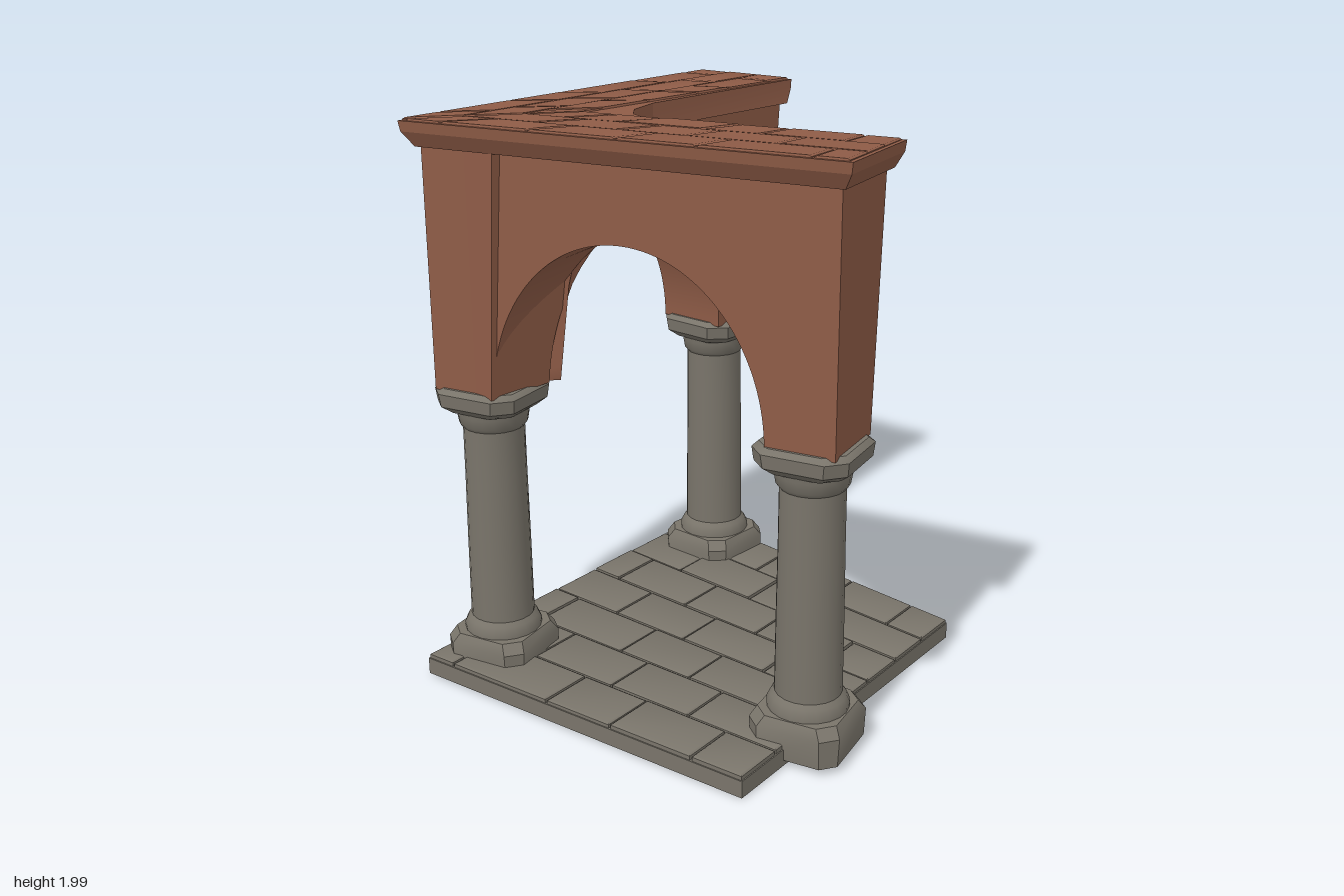
import * as THREE from 'three';
import { toCreasedNormals } from 'three/addons/utils/BufferGeometryUtils.js';

const brick = new THREE.MeshStandardMaterial({ color: 0x8f5c47 });
brick.name = 'terracotta';
const stone = new THREE.MeshStandardMaterial({ color: 0x79746a });
stone.name = 'grey stone';

let seed = 7;
const rand = () => (seed = (seed * 16807) % 2147483647) / 2147483647;
const lerp = THREE.MathUtils.lerp;

function mesh(name, geo, mat, crease = 0.6) {
  const m = new THREE.Mesh(toCreasedNormals(geo, crease), mat);
  m.name = name;
  return m;
}

// Closed solid from stacked horizontal outlines: levels = [y, [[x, z], ...]], bottom to top
function loft(levels) {
  const first = levels[levels.length - 1][1].map(p => new THREE.Vector2(p[0], -p[1]));
  const flip = THREE.ShapeUtils.area(first) < 0;
  const rings = levels.map(([y, pts]) => {
    const r = pts.map(([x, z]) => [x, y, z]);
    return flip ? r.reverse() : r;
  });
  const n = rings[0].length, top = rings.length - 1, pos = [];
  const tri = (...p) => p.forEach(v => pos.push(...v));
  for (let k = 0; k < top; k++) for (let i = 0; i < n; i++) {
    const j = (i + 1) % n;
    tri(rings[k][i], rings[k][j], rings[k + 1][j]);
    tri(rings[k][i], rings[k + 1][j], rings[k + 1][i]);
  }
  const cap = r => THREE.ShapeUtils.triangulateShape(r.map(p => new THREE.Vector2(p[0], -p[2])), []);
  cap(rings[top]).forEach(([a, b, c]) => tri(rings[top][a], rings[top][b], rings[top][c]));
  cap(rings[0]).forEach(([a, b, c]) => tri(rings[0][a], rings[0][c], rings[0][b]));
  const g = new THREE.BufferGeometry();
  g.setAttribute('position', new THREE.Float32BufferAttribute(pos, 3));
  return g;
}

// Uneven running-bond stones filling a four-cornered area
function paving(name, [a, b, c, d], rows, cols, y, h, gap, mat) {
  const group = new THREE.Group();
  group.name = name;
  const at = (u, v) => [0, 1].map(i => lerp(lerp(a[i], b[i], u), lerp(d[i], c[i], u), v));
  for (let r = 0; r < rows; r++) {
    const cuts = [0];
    for (let i = 0; i < cols; i++) {
      const u = (i + (r % 2 ? 0.9 : 0.5) + (rand() - 0.5) * 0.3) / cols;
      if (u < 0.93) cuts.push(u);
    }
    cuts.push(1);
    for (let i = 0; i + 1 < cuts.length; i++) {
      const quad = o => [
        at(cuts[i] + o, r / rows + o), at(cuts[i + 1] - o, r / rows + o),
        at(cuts[i + 1] - o, (r + 1) / rows - o), at(cuts[i] + o, (r + 1) / rows - o)];
      const top = y + h * (0.7 + 0.3 * rand());
      group.add(mesh('pavingStone', loft([[y - 0.01, quad(gap * 0.5)], [top - 0.004, quad(gap * 0.5)], [top, quad(gap * 1.3)]]), mat));
    }
  }
  return group;
}

// Square outline with cut corners
const cutSquare = (s, c) => [[s, c], [c, s], [-c, s], [-s, c], [-s, -c], [-c, -s], [c, -s], [s, -c]];

function column(x, z, turn, foot) {
  const g = new THREE.Group();
  g.name = 'column';
  g.add(mesh('plinth', loft([[foot, cutSquare(0.155, 0.11)], [0.13, cutSquare(0.16, 0.11)], [0.165, cutSquare(0.14, 0.09)]]), stone));
  const profile = [[0.001, 0.15], [0.135, 0.15], [0.137, 0.18], [0.125, 0.205], [0.112, 0.22], [0.11, 0.5],
    [0.107, 0.75], [0.106, 0.93], [0.118, 0.945], [0.124, 0.98], [0.132, 1.03], [0.001, 1.03]];
  g.add(mesh('shaft', new THREE.LatheGeometry(profile.map(p => new THREE.Vector2(...p)), 20), stone));
  g.add(mesh('capital', loft([[0.995, cutSquare(0.125, 0.075)], [1.022, cutSquare(0.157, 0.10)],
    [1.068, cutSquare(0.162, 0.105)], [1.085, cutSquare(0.145, 0.09)]]), stone));
  g.position.set(x, 0, z);
  g.rotation.y = turn;
  return g;
}

const SPRING = 1.075, TOP = 1.93;
// Inner wall face leans outward toward the top
const innerOffset = y => lerp(0.14, 0.2, (y - SPRING) / (TOP - SPRING));

// Arched wall along local x, outer face toward local +z
function archWall(name, x0, x1, half, crown) {
  const s = new THREE.Shape();
  s.moveTo(x0, SPRING);
  s.lineTo(-half, SPRING);
  s.absellipse(0, SPRING, half, crown - SPRING, Math.PI, 0, true);
  s.lineTo(x1, SPRING);
  s.lineTo(x1, TOP);
  s.lineTo(x0, TOP);
  const geo = new THREE.ExtrudeGeometry(s, { depth: 1, bevelEnabled: false, curveSegments: 28 });
  const p = geo.attributes.position;
  for (let i = 0; i < p.count; i++) p.setZ(i, p.getZ(i) > 0.5 ? 0.135 : -innerOffset(p.getY(i)));
  return mesh(name, geo, brick);
}

export function createModel() {
  const model = new THREE.Group();
  model.name = 'archwayCorner';

  // Paved floor
  const floor = [[-0.79, 0.69], [0.55, 0.87], [0.76, -0.42], [-0.52, -0.84]];
  model.add(mesh('floorSlab', loft([[0.01, floor], [0.07, floor]]), stone));
  model.add(paving('floorPaving', floor, 7, 4, 0.07, 0.02, 0.006, stone));

  // Stain on the underside
  const stain = [[0.37, 0.005], [0.35, 0.06], [0.4, 0.19], [0.47, 0.14], [0.6, 0.18], [0.68, 0.16], [0.72, 0.08], [0.73, 0.005]]
    .map(([a, b]) => [-0.79 + 0.27 * a + 1.34 * b, 0.69 - 1.52 * a + 0.18 * b]);
  model.add(mesh('undersideStain', loft([[0.006, stain], [0.012, stain]]), brick));

  // Columns
  const dir = [-0.234, 0.972], inward = [0.972, 0.234], mid = [-0.465, -0.07];
  const turn = Math.atan2(-0.972, -0.234);
  model.add(column(-0.6, 0.49, 0, 0.03), column(0.6, 0.49, 0, 0.03), column(-0.33, -0.63, turn, 0.03));

  // Two arched walls
  model.add(archWall('frontWall', -0.735, 0.73, 0.495, 1.65));
  model.children.at(-1).position.z = 0.49;
  const side = archWall('sideWall', -0.725, 0.7, 0.44, 1.6);
  side.position.set(mid[0], 0, mid[1]);
  side.rotation.y = turn;
  model.add(side);

  // Concave web joining the walls at the inner corner, following both arches
  const span = (y, half, crown) => half * Math.sqrt(Math.max(0, 1 - ((y - SPRING) / (crown - SPRING)) ** 2));
  const levels = [];
  for (let k = 0; k <= 18; k++) {
    const y = lerp(SPRING, TOP, k / 18), d = innerOffset(y), z = 0.49 - d;
    const t = (z - mid[1] - inward[1] * d) / dir[1];
    const sidePoint = u => [mid[0] + dir[0] * u + inward[0] * d, mid[1] + dir[1] * u + inward[1] * d];
    const corner = sidePoint(t);
    const p1 = [Math.max(Math.min(-0.1, -span(y, 0.495, 1.65)), corner[0] + 0.01), z];
    const p2 = sidePoint(Math.min(Math.max(0.05, span(y, 0.44, 1.6)), t - 0.01));
    const ring = [[-0.6, 0.49]];
    for (let i = 0; i <= 8; i++) {
      const u = i / 8, v = 1 - u;
      ring.push([0, 1].map(j => v * v * p1[j] + 2 * u * v * corner[j] + u * u * p2[j]));
    }
    levels.push([y, ring]);
  }
  model.add(mesh('cornerWeb', loft(levels), brick, 0.9));

  // Coping: outline points with the direction in which each steps inward
  const outline = [[-0.77, 0.69, 1, -1], [0.785, 0.69, -1, -1], [0.785, 0.28, -1, 0], [-0.1, 0.28, 0, 0], [-0.18, 0.225, 0, 0],
    [-0.225, 0.14, 0, 0], [-0.24, -0.01, 0, 0], [-0.08, -0.78, 0, 1], [-0.5, -0.865, 1, 1], [-0.67, -0.05, 1, 0]];
  const inset = o => outline.map(([x, z, dx, dz]) => [x + dx * o, z + dz * o]);
  model.add(mesh('coping', loft([[1.9, inset(0.035)], [1.925, inset(0.02)], [1.95, inset(0.005)], [1.985, inset(0)]]), brick, 0.3));
  model.add(paving('frontCopingStones', [[-0.75, 0.68], [0.775, 0.68], [0.775, 0.29], [-0.33, 0.29]], 3, 5, 1.985, 0.008, 0.006, brick));
  model.add(paving('sideCopingStones', [[-0.765, 0.68], [-0.495, -0.855], [-0.09, -0.775], [-0.335, 0.29]], 3, 5, 1.985, 0.008, 0.006, brick));
  return model;
}
